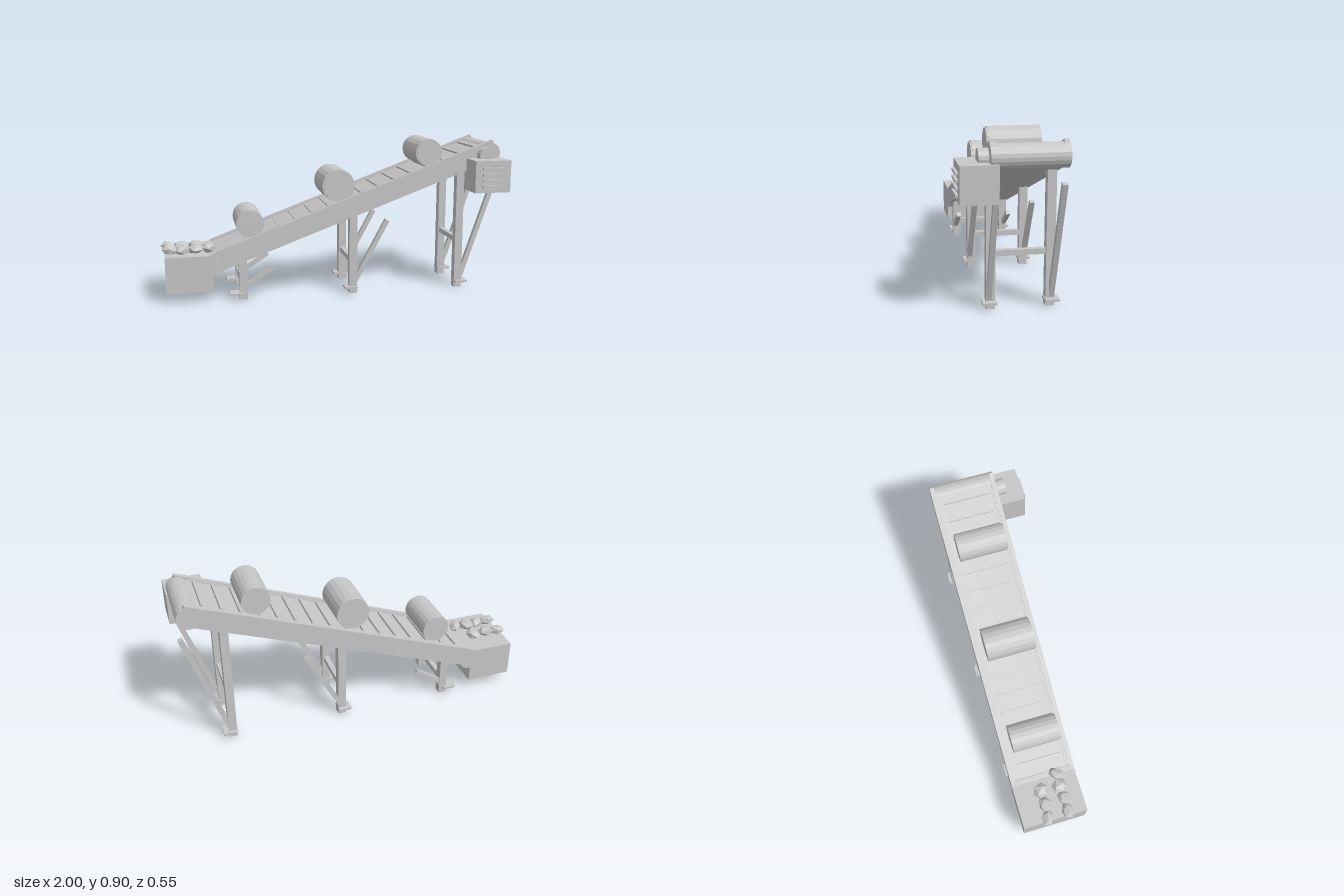
import * as THREE from 'three';

export function createModel() {
  const root = new THREE.Group();
  root.name = 'loadedConveyor';
  const grey = new THREE.MeshStandardMaterial({ color: 0xc6c6c6, flatShading: true });
  grey.name = 'plainGrey';

  const MID = -0.076; // conveyor centre line in z
  const WIDTH = 0.378;

  const add = (parent, name, geometry, x, y, z) => {
    const mesh = new THREE.Mesh(geometry, grey);
    mesh.name = name;
    mesh.position.set(x, y, z);
    parent.add(mesh);
    return mesh;
  };
  const box = (parent, name, w, h, d, x, y, z) =>
    add(parent, name, new THREE.BoxGeometry(w, h, d), x, y, z);
  // Cylinder lying along z
  const drum = (parent, name, r, length, x, y, z, sides = 20) =>
    add(parent, name, new THREE.CylinderGeometry(r, r, length, sides).rotateX(Math.PI / 2), x, y, z);

  // Sloping conveyor, built level and then tilted
  const conveyor = new THREE.Group();
  conveyor.name = 'conveyor';
  conveyor.position.set(0.1125, 0.5125, MID);
  conveyor.rotation.z = THREE.MathUtils.degToRad(20.2);
  root.add(conveyor);
  box(conveyor, 'frame', 1.734, 0.06, WIDTH, 0, -0.015, 0);
  box(conveyor, 'belt', 1.734, 0.042, 0.325, 0, 0.035, 0);
  for (const s of [-1, 1]) {
    box(conveyor, 'sideRail', 1.76, 0.053, 0.026, 0.025, 0.0415, s * 0.176);
    box(conveyor, 'innerGuide', 1.66, 0.006, 0.012, -0.01, 0.059, s * 0.157);
    drum(conveyor, 'endRoller', 0.062, WIDTH, s * 0.867, 0, 0);
  }
  for (let i = 0; i < 16; i++) {
    box(conveyor, 'beltSlat', 0.012, 0.014, 0.272, -0.762 + i * 0.1043, 0.06, 0);
  }

  // Barrels riding on the belt
  for (const [x, y, r] of [[-0.493, 0.435, 0.08], [0.022, 0.637, 0.095], [0.563, 0.818, 0.08]]) {
    drum(root, 'barrel', r, 0.272, x, y, -0.07);
    drum(root, 'barrelLid', r * 0.92, 0.008, x, y, 0.07);
  }

  // Leg pairs: x, height, plate x, strut start and end
  const legs = [
    [-0.541, 0.24, -0.58, [-0.56, 0.055], [-0.363, 0.185]],
    [0.104, 0.48, 0.09, [0.112, 0.065], [0.308, 0.43]],
    [0.752, 0.715, 0.77, [0.76, 0.045], [0.978, 0.685]],
  ];
  for (const [x, height, plateX, a, b] of legs) {
    const dx = b[0] - a[0], dy = b[1] - a[1];
    for (const s of [-1, 1]) {
      box(root, 'leg', 0.046, height, 0.047, x, height / 2, MID + s * 0.153);
      box(root, 'footPlate', 0.075, 0.012, 0.074, plateX, 0.037, MID + s * 0.16);
      const strut = box(root, 'legStrut', Math.hypot(dx, dy), 0.027, 0.027,
        (a[0] + b[0]) / 2, (a[1] + b[1]) / 2, MID + s * 0.161);
      strut.rotation.z = Math.atan2(dy, dx);
    }
    box(root, 'crossBar', 0.03, 0.03, 0.27, x, height * 0.405, MID);
  }

  // Loading box with rocks on top
  box(root, 'loadingBox', 0.266, 0.209, WIDTH, -0.843, 0.1645, MID);
  const rocks = [
    [-0.955, 0.285, -0.118, 0.3], [-0.882, 0.285, -0.108, -0.2], [-0.798, 0.286, -0.112, 0.8],
    [-0.948, 0.29, 0.002, 0.1], [-0.875, 0.284, 0.008, -0.6], [-0.802, 0.288, -0.002, 1.3],
    [-0.728, 0.29, 0.002, -1.0],
  ];
  rocks.forEach(([x, y, z, turn], i) => {
    const rock = add(root, 'rock', new THREE.IcosahedronGeometry(1, 0), x, y, z);
    rock.scale.set(0.05, 0.031, 0.036 + (i % 3) * 0.005);
    rock.rotation.set(0.2 * (i % 2), -turn, 0.15 * ((i % 3) - 1));
  });

  // Drive motor and vented control box
  drum(root, 'motor', 0.048, 0.06, 0.89, 0.8, 0.134, 16);
  box(root, 'controlBox', 0.214, 0.185, 0.185, 0.888, 0.6925, 0.1675);
  for (let i = 0; i < 4; i++) {
    box(root, 'vent', 0.125, 0.014, 0.016, 0.886, 0.636 + i * 0.035, 0.267);
  }
  return root;
}
